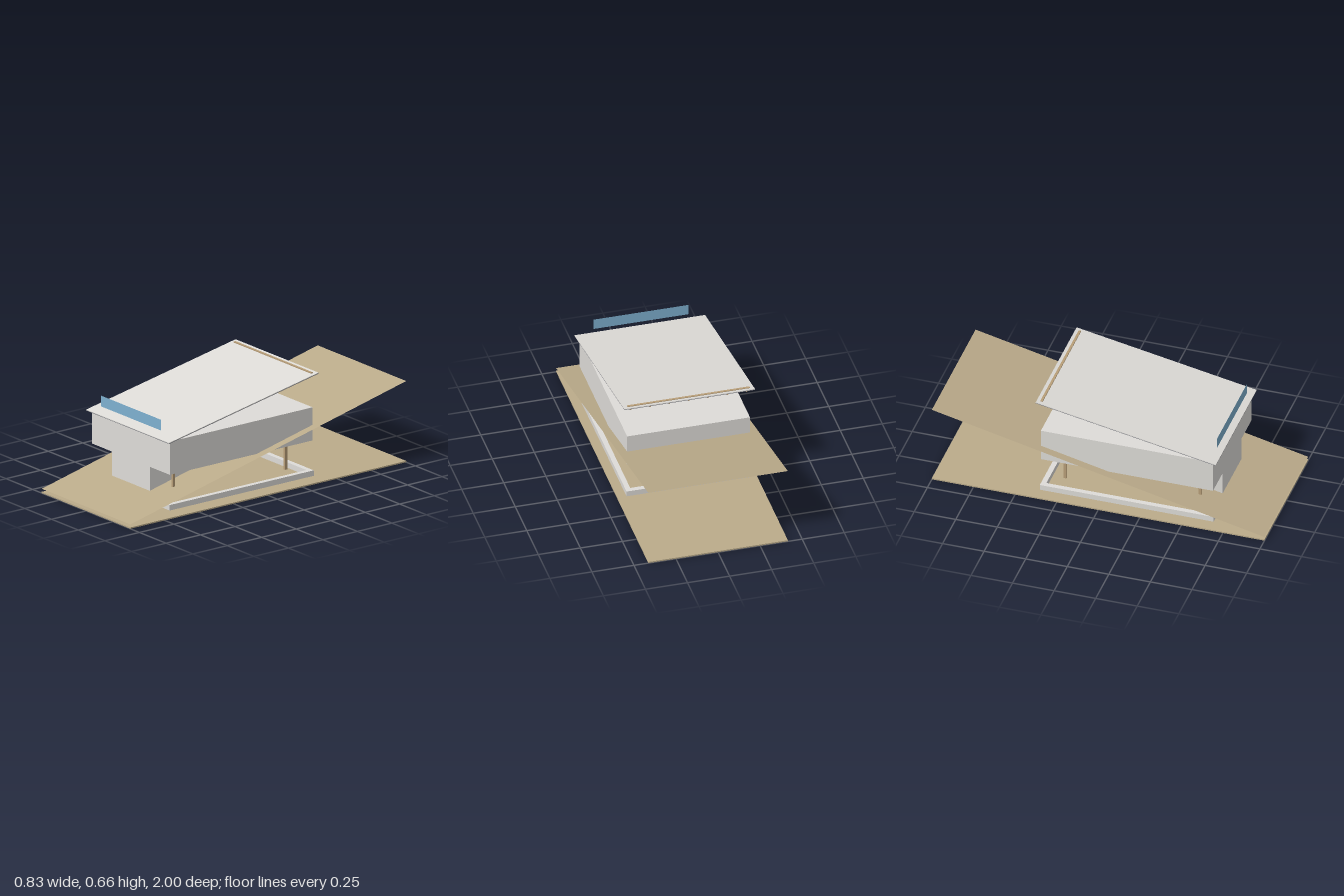
import * as THREE from 'three';

const flat = (name, color, extra = {}) => {
  const m = new THREE.MeshStandardMaterial({ color, ...extra });
  m.name = name;
  return m;
};

export function createModel() {
  const model = new THREE.Group();
  model.name = 'hillsideHouse';

  const earth = flat('earth', 0xbbab8a, { side: THREE.DoubleSide });
  const plaster = flat('plaster', 0xdedcd8);
  const wood = flat('wood', 0xb89e78);
  const soffit = flat('roofUnderside', 0x85868e);
  const glass = flat('glass', 0x7eb1d0, { side: THREE.DoubleSide });

  // Box given by its limits on each axis
  function box(name, material, [x0, x1], [y0, y1], [z0, z1], parent = model) {
    const mesh = new THREE.Mesh(new THREE.BoxGeometry(x1 - x0, y1 - y0, z1 - z0), material);
    mesh.position.set((x0 + x1) / 2, (y0 + y1) / 2, (z0 + z1) / 2);
    mesh.name = name;
    parent.add(mesh);
    return mesh;
  }

  // Flat site base
  box('siteBase', earth, [-0.415, 0.415], [0, 0.008], [-1, 1]);

  // Sloping terrain sheet, rising towards the back
  const terrainGeo = new THREE.PlaneGeometry(0.83, 2).rotateX(-Math.PI / 2);
  const pos = terrainGeo.attributes.position;
  for (let i = 0; i < pos.count; i++) pos.setY(i, 0.026 + (1 - pos.getZ(i)) * 0.232);
  terrainGeo.computeVertexNormals();
  const terrain = new THREE.Mesh(terrainGeo, earth);
  terrain.name = 'slopingTerrain';
  model.add(terrain);

  // Foundation ring
  const ring = new THREE.Shape();
  ring.moveTo(-0.37, -0.68).lineTo(0.37, -0.68).lineTo(0.37, 0.365).lineTo(-0.37, 0.365).closePath();
  const hole = new THREE.Path();
  hole.moveTo(-0.34, -0.65).lineTo(-0.34, 0.335).lineTo(0.34, 0.335).lineTo(0.34, -0.65).closePath();
  ring.holes.push(hole);
  const foundation = new THREE.Mesh(
    new THREE.ExtrudeGeometry(ring, { depth: 0.033, bevelEnabled: false }).rotateX(-Math.PI / 2), plaster);
  foundation.position.y = 0.034;
  foundation.name = 'foundationRing';
  model.add(foundation);

  // House volumes
  box('lowerStorey', plaster, [-0.178, 0.176], [0.067, 0.248], [0.215, 0.674]);
  box('upperStorey', plaster, [-0.365, 0.365], [0.247, 0.447], [-0.36, 0.675]);

  // Posts
  for (const x of [-0.255, 0.255])
    for (const z of [0.565, -0.247])
      box('post', wood, [x - 0.008, x + 0.008], [0.067, 0.248], [z - 0.008, z + 0.008]);

  // Tilted roof: its group lies along the slope
  const roof = new THREE.Group();
  roof.name = 'roof';
  const run = 1.083, rise = 0.207;
  const half = Math.hypot(run, rise) / 2;
  roof.position.set(0, 0.551, 0.157);
  roof.rotation.x = Math.atan2(rise, run);
  model.add(roof);
  box('roofSheet', plaster, [-0.388, 0.388], [-0.001, 0.003], [-half, half], roof);
  box('roofUnderside', soffit, [-0.388, 0.388], [-0.004, -0.001], [-half, half], roof);
  for (let i = 0; i < 7; i++) {
    const x = -0.345 + i * 0.115;
    box('rafter', wood, [x - 0.005, x + 0.005], [-0.019, -0.007], [-0.527, 0.49], roof);
  }

  // Ridge beam near the high edge
  box('ridgeBeam', wood, [-0.364, 0.364], [0.65, 0.657], [-0.364, -0.35]);

  // Front clerestory window
  const pane = new THREE.Mesh(new THREE.PlaneGeometry(0.564, 0.065), glass);
  pane.position.set(0, 0.5245, 0.673);
  pane.name = 'clerestoryWindow';
  model.add(pane);

  return model;
}
